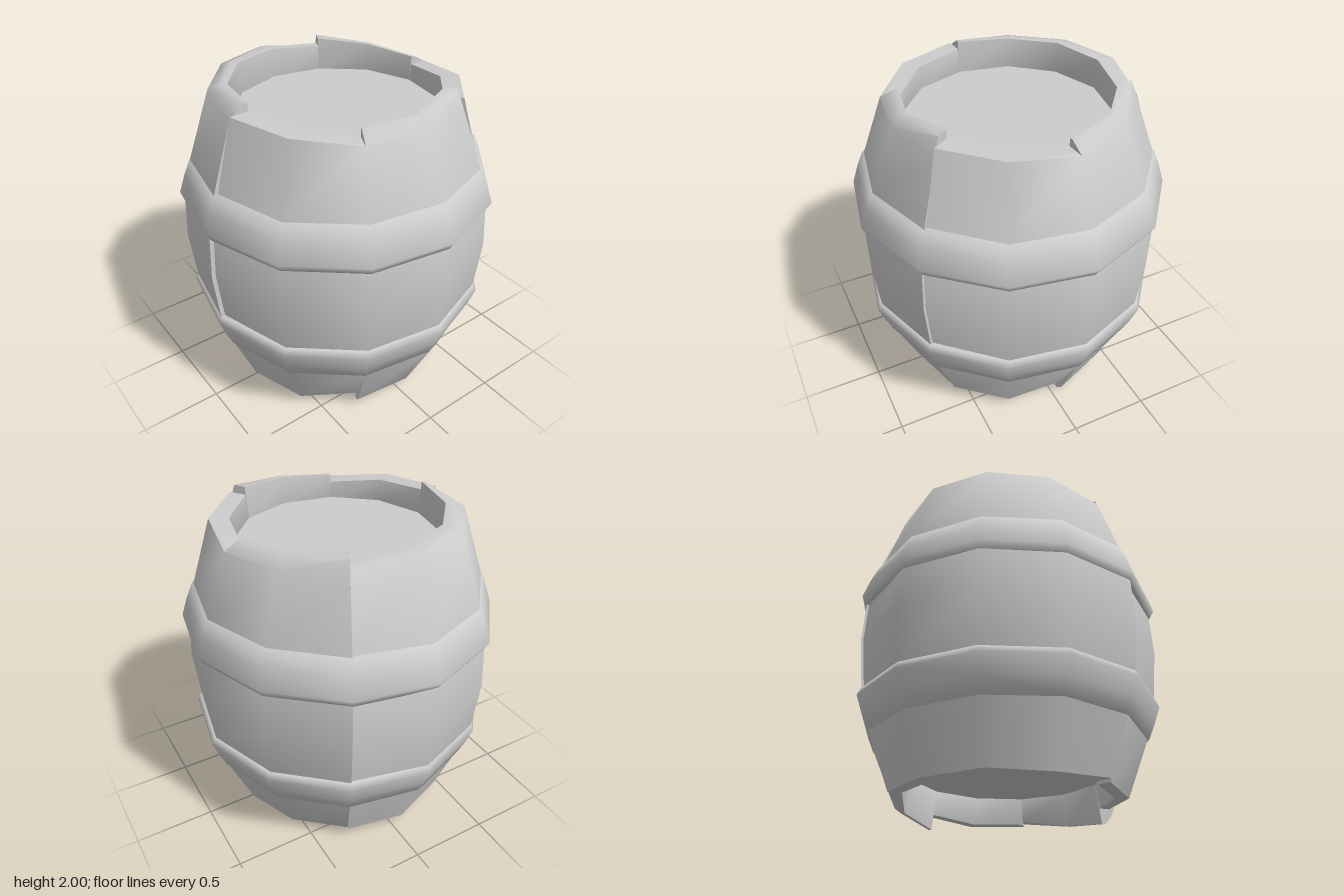
import * as THREE from 'three';
import { toCreasedNormals } from 'three/addons/utils/BufferGeometryUtils.js';

const RAD = Math.PI / 180;
const START = 4.5; // azimuth of the first of the twelve corners, from +z towards +x
const material = new THREE.MeshStandardMaterial({ color: 0xcccccc });

// Cross-section of a stave: outer face going up, then inner face going down.
// sole and foot shape the lower rim, shoulder and lip the upper one, all as [radius, height]
function section(sole, foot, shoulder, lip, belly) {
  return [
    sole, foot, [0.862, 0.43], [0.92 + belly, 0.68], [0.952 + belly, 1.0],
    [0.937 + belly, 1.26], [0.878 + belly, 1.53], shoulder, lip,
    [0.63, lip[1]], [0.615, 1.78], [0.75, 1.5], [0.76, 1.26], [0.78, 1.0],
    [0.76, 0.68], [0.7, 0.43], [0.6, 0.25], [sole[0] - 0.025, sole[1]],
  ];
}

// Closed solid swept through sections standing at the given azimuths
function addStave(positions, columns) {
  const point = ({ angle, loop }, i) => {
    const [r, y] = loop[i % loop.length];
    return [r * Math.sin(angle * RAD), y, r * Math.cos(angle * RAD)];
  };
  const quad = (a, b, c, d) => positions.push(...a, ...b, ...c, ...a, ...c, ...d);
  const n = columns[0].loop.length;
  for (let j = 0; j < columns.length - 1; j++) {
    const p = columns[j], q = columns[j + 1];
    for (let i = 0; i < n; i++) quad(point(p, i), point(q, i), point(q, i + 1), point(p, i + 1));
  }
  const first = columns[0], last = columns[columns.length - 1];
  for (let k = 0; k < n / 2 - 1; k++) {
    const ids = [k, k + 1, n - 2 - k, n - 1 - k];
    quad(...ids.map((i) => point(first, i)));
    quad(...ids.reverse().map((i) => point(last, i)));
  }
}

// A third of the wall, made of staves given as lists of [angle, ...section values]
function wallPanel(staves) {
  const positions = [];
  for (const stave of staves) {
    addStave(positions, stave.map(([angle, ...rest]) => ({ angle, loop: section(...rest) })));
  }
  const geometry = new THREE.BufferGeometry();
  geometry.setAttribute('position', new THREE.Float32BufferAttribute(positions, 3));
  return toCreasedNormals(geometry, 60 * RAD);
}

// Front and right panels: two staves that step in height where they meet
const STEPPED = [
  [
    [0, [0.67, 0.08], [0.725, 0.08], [0.745, 1.95], [0.7, 1.95], -0.015],
    [30, [0.67, 0.075], [0.725, 0.075], [0.75, 1.935], [0.7, 1.935], 0],
    [60, [0.65, 0.095], [0.69, 0.095], [0.74, 1.9], [0.7, 1.9], 0],
  ],
  [
    [60, [0.66, 0], [0.705, 0.05], [0.74, 1.9], [0.65, 1.95], 0],
    [90, [0.66, 0.04], [0.7, 0.07], [0.73, 1.91], [0.66, 1.97], 0],
    [120, [0.67, 0.1], [0.73, 0.1], [0.75, 1.88], [0.705, 2], 0.005],
  ],
];

// Back panel: one even run
const EVEN = [
  [
    [0, [0.67, 0.08], [0.725, 0.08], [0.74, 1.92], [0.69, 1.95], -0.01],
    [30, [0.67, 0.075], [0.73, 0.075], [0.745, 1.97], [0.68, 1.98], 0.012],
    [60, [0.67, 0.08], [0.73, 0.085], [0.745, 1.97], [0.68, 1.99], 0.012],
    [90, [0.67, 0.07], [0.73, 0.075], [0.745, 1.96], [0.67, 1.985], 0.012],
    [120, [0.67, 0.1], [0.735, 0.1], [0.75, 1.93], [0.655, 2], 0.012],
  ],
];

// Twelve-sided band with a slightly uneven line
function hoop(profile) {
  const points = profile.map(([r, y]) => new THREE.Vector2(r, y));
  const geometry = new THREE.LatheGeometry(points, 12, START * RAD);
  const pos = geometry.attributes.position;
  for (let i = 0; i < pos.count; i++) {
    const a = Math.atan2(pos.getX(i), pos.getZ(i));
    pos.setY(i, pos.getY(i) + 0.006 * Math.sin(3 * a + 1));
  }
  return geometry;
}

export function createModel() {
  const group = new THREE.Group();
  const add = (name, geometry) => {
    const mesh = new THREE.Mesh(geometry, material);
    mesh.name = name;
    group.add(mesh);
    return mesh;
  };

  // Wall
  const stepped = wallPanel(STEPPED);
  add('rightSidePanel', stepped).rotation.y = (START + 30) * RAD;
  add('backPanel', wallPanel(EVEN)).rotation.y = (START + 150) * RAD;
  add('frontPanel', stepped).rotation.y = (START + 270) * RAD;

  // Hoops
  add('upperHoop', hoop([[0.85, 1.26], [0.94, 1.255], [0.973, 1.31], [0.933, 1.43], [0.893, 1.525], [0.8, 1.53]]));
  add('lowerHoop', hoop([[0.8, 0.43], [0.87, 0.432], [0.912, 0.53], [0.95, 0.64], [0.93, 0.685], [0.85, 0.685]]));

  // Recessed lids
  for (const [name, y] of [['topLid', 1.775], ['bottomLid', 0.27]]) {
    add(name, new THREE.CylinderGeometry(0.64, 0.64, 0.05, 12, 1, false, START * RAD)).position.y = y;
  }
  return group;
}
